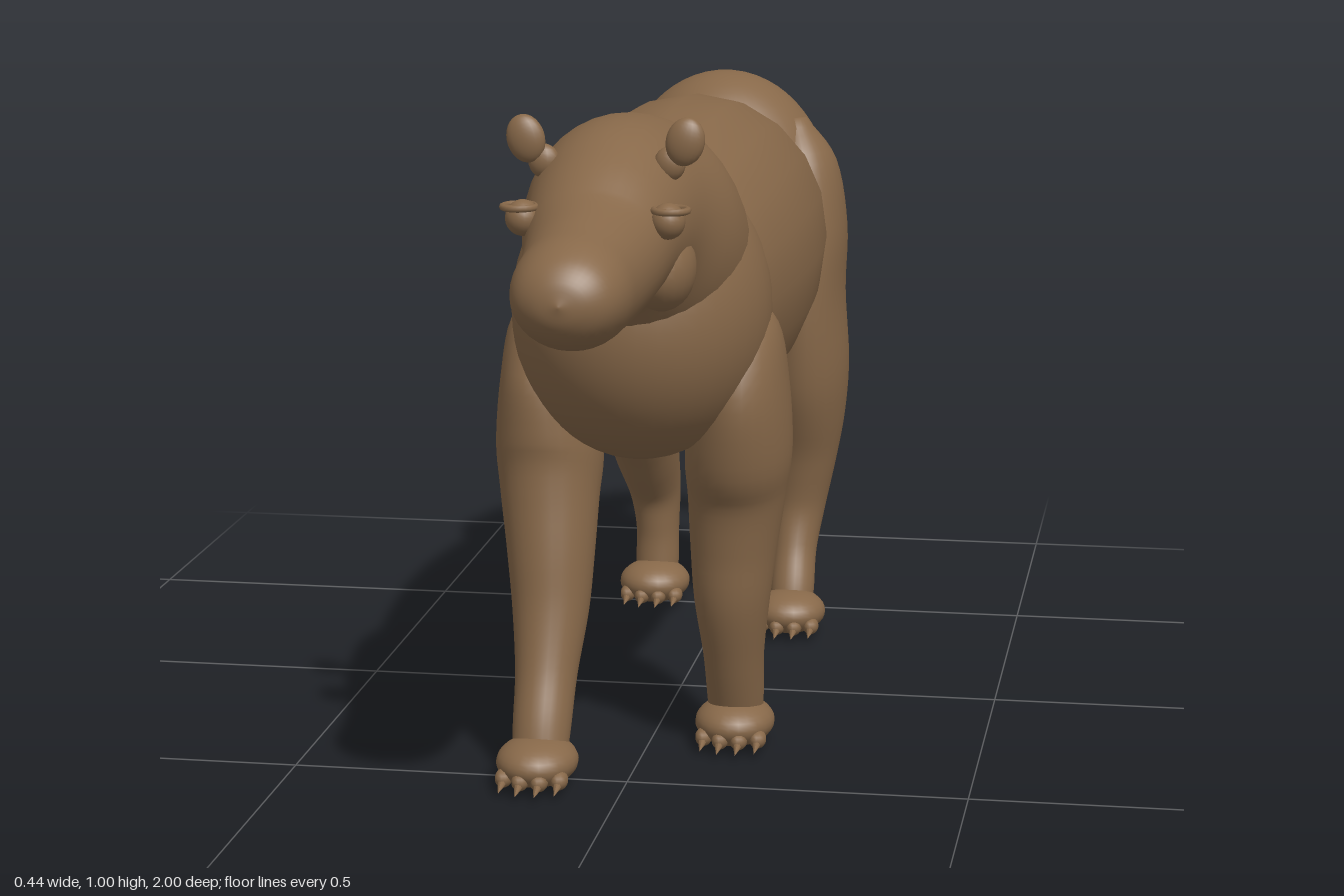
import * as THREE from 'three';

const hide = new THREE.MeshStandardMaterial({ color: 0x876849 });
hide.name = 'brown hide';

function add(parent, name, geometry) {
  const mesh = new THREE.Mesh(geometry, hide);
  mesh.name = name;
  parent.add(mesh);
  return mesh;
}

// Smooth skin over elliptical sections [x, y, z, halfWidth, halfDepth]; rings lean in the yz plane.
function loft(sections, sides = 28, steps = 5) {
  const path = new THREE.CatmullRomCurve3(sections.map(s => new THREE.Vector3(s[0], s[1], s[2])), false, 'catmullrom', 0.5);
  const size = new THREE.CatmullRomCurve3(sections.map(s => new THREE.Vector3(s[3], s[4], 0)), false, 'catmullrom', 0.5);
  const n = (sections.length - 1) * steps;
  const pos = [], index = [];
  for (let i = 0; i <= n; i++) {
    const c = path.getPoint(i / n), r = size.getPoint(i / n), t = path.getTangent(i / n);
    const len = Math.hypot(t.y, t.z);
    for (let j = 0; j < sides; j++) {
      const a = (j / sides) * Math.PI * 2;
      const v = Math.sin(a) * r.y / len;
      pos.push(c.x + Math.cos(a) * r.x, c.y + t.z * v, c.z - t.y * v);
      if (i < n) {
        const k = (j + 1) % sides, p = i * sides, q = p + sides;
        index.push(p + j, p + k, q + k, p + j, q + k, q + j);
      }
    }
  }
  // End caps
  for (const [ring, flip] of [[0, true], [n, false]]) {
    const c = path.getPoint(ring / n), m = pos.length / 3;
    pos.push(c.x, c.y, c.z);
    for (let j = 0; j < sides; j++) {
      const a = ring * sides + j, b = ring * sides + (j + 1) % sides;
      index.push(m, flip ? b : a, flip ? a : b);
    }
  }
  const g = new THREE.BufferGeometry();
  g.setAttribute('position', new THREE.Float32BufferAttribute(pos, 3));
  g.setIndex(index);
  g.computeVertexNormals();
  return g;
}

function ellipsoid(parent, name, [x, y, z], [rx, ry, rz], detail = 32) {
  const mesh = add(parent, name, new THREE.SphereGeometry(1, detail, detail * 0.75));
  mesh.position.set(x, y, z);
  mesh.scale.set(rx, ry, rz);
  return mesh;
}

// Section of the trunk given by its top and bottom heights
const slice = (z, top, bottom, rx) => [0, (top + bottom) / 2, z, rx, (top - bottom) / 2];

function makeLeg(name, side, sections, footZ, footLength) {
  const leg = new THREE.Group();
  leg.name = name;
  add(leg, 'limb', loft(sections.map(([x, ...rest]) => [x * side, ...rest])));
  const x = 0.128 * side;
  ellipsoid(leg, 'foot', [x, 0.037, footZ], [0.06, 0.036, footLength], 24);
  for (const dx of [-0.041, -0.014, 0.014, 0.041]) {
    const reach = footLength * (Math.abs(dx) > 0.03 ? 0.82 : 1.0);
    ellipsoid(leg, 'toe', [x + dx, 0.022, footZ + reach - 0.015], [0.013, 0.014, 0.02], 12);
    const claw = add(leg, 'claw', new THREE.ConeGeometry(0.009, 0.04, 8));
    claw.rotation.x = Math.PI / 2 + 0.25;
    claw.position.set(x + dx, 0.016, footZ + reach + 0.008);
  }
  return leg;
}

export function createModel() {
  const model = new THREE.Group();
  model.name = 'animal';

  // Trunk
  add(model, 'torso', loft([
    slice(-0.4, 0.875, 0.5, 0.17), slice(-0.33, 0.897, 0.475, 0.187), slice(-0.16, 0.93, 0.455, 0.205),
    slice(0, 0.942, 0.45, 0.212), slice(0.16, 0.932, 0.457, 0.205), slice(0.33, 0.908, 0.475, 0.188),
    slice(0.4, 0.88, 0.5, 0.17),
  ], 20, 2));
  ellipsoid(model, 'chest', [0, 0.685, 0.36], [0.19, 0.225, 0.225], 40);
  ellipsoid(model, 'rump', [0, 0.72, -0.46], [0.178, 0.212, 0.168], 40);

  // Neck, skull and snout
  add(model, 'head', loft([
    slice(0.26, 0.86, 0.6, 0.13), slice(0.36, 0.925, 0.6, 0.16), slice(0.46, 0.983, 0.64, 0.158),
    slice(0.57, 0.99, 0.705, 0.13), slice(0.66, 0.962, 0.73, 0.113), slice(0.75, 0.915, 0.726, 0.097),
    slice(0.85, 0.89, 0.721, 0.084), slice(0.92, 0.877, 0.727, 0.08), slice(0.965, 0.858, 0.743, 0.066),
    slice(0.99, 0.832, 0.768, 0.038), slice(1.0, 0.802, 0.798, 0.002),
  ], 36));
  for (const s of [1, -1]) {
    const ear = ellipsoid(model, 'ear', [0.111 * s, 0.97, 0.655], [0.027, 0.034, 0.016], 20);
    ear.rotation.z = -0.25 * s;
    ellipsoid(model, 'earBase', [0.088 * s, 0.938, 0.645], [0.022, 0.024, 0.016], 16);
    ellipsoid(model, 'eye', [0.1 * s, 0.873, 0.735], [0.024, 0.025, 0.025], 20);
    const lid = add(model, 'eyelid', new THREE.TorusGeometry(0.023, 0.005, 8, 24));
    lid.rotation.x = Math.PI / 2;
    lid.position.set(0.104 * s, 0.888, 0.735);
    ellipsoid(model, 'cheek', [0.075 * s, 0.79, 0.63], [0.047, 0.06, 0.07], 20);
  }

  // Tail
  add(model, 'tail', loft([
    [0, 0.79, -0.55, 0.05, 0.05], [0, 0.755, -0.63, 0.05, 0.056], [0, 0.67, -0.75, 0.042, 0.046],
    [0, 0.56, -0.855, 0.035, 0.039], [0, 0.42, -0.932, 0.028, 0.03], [0, 0.27, -0.98, 0.02, 0.021],
    [0, 0.248, -0.985, 0.012, 0.012],
  ], 24));

  // Legs in mid stride
  const foreLeg = (z) => [
    [0.13, 0.71, z[0], 0.02, 0.02], [0.14, 0.66, z[0], 0.058, 0.075], [0.145, 0.57, z[0], 0.069, 0.113],
    [0.14, 0.47, z[1], 0.079, 0.105], [0.136, 0.4, z[2], 0.073, 0.082], [0.131, 0.32, z[3], 0.065, 0.071],
    [0.128, 0.24, z[4], 0.057, 0.063], [0.128, 0.15, z[5], 0.046, 0.05], [0.128, 0.08, z[6], 0.043, 0.044],
    [0.128, 0.03, z[7], 0.04, 0.036],
  ];
  model.add(makeLeg('leftForeLeg', 1, foreLeg([0.34, 0.335, 0.325, 0.32, 0.317, 0.3, 0.28, 0.27]), 0.285, 0.072));
  model.add(makeLeg('rightForeLeg', -1, foreLeg([0.34, 0.355, 0.378, 0.4, 0.42, 0.457, 0.492, 0.515]), 0.528, 0.072));

  const hindLeg = (z) => [
    [0.12, 0.86, -0.43, 0.02, 0.02], [0.135, 0.79, -0.43, 0.055, 0.075], [0.145, 0.68, -0.43, 0.064, 0.11],
    [0.145, 0.57, z[0], 0.062, 0.123], [0.142, 0.45, z[1], 0.072, 0.115], [0.142, 0.36, z[2], 0.066, 0.094],
    [0.138, 0.28, z[3], 0.056, 0.064], [0.132, 0.2, z[4], 0.045, 0.049], [0.128, 0.13, z[5], 0.037, 0.041],
    [0.128, 0.07, z[6], 0.037, 0.037], [0.128, 0.03, z[7], 0.034, 0.034],
  ];
  model.add(makeLeg('leftHindLeg', 1, hindLeg([-0.427, -0.43, -0.435, -0.434, -0.432, -0.41, -0.38, -0.365]), -0.345, 0.065));
  model.add(makeLeg('rightHindLeg', -1, hindLeg([-0.427, -0.43, -0.44, -0.475, -0.526, -0.535, -0.532, -0.525]), -0.505, 0.065));
  ellipsoid(model, 'rightHock', [-0.132, 0.195, -0.54], [0.04, 0.038, 0.04], 20);

  return model;
}
